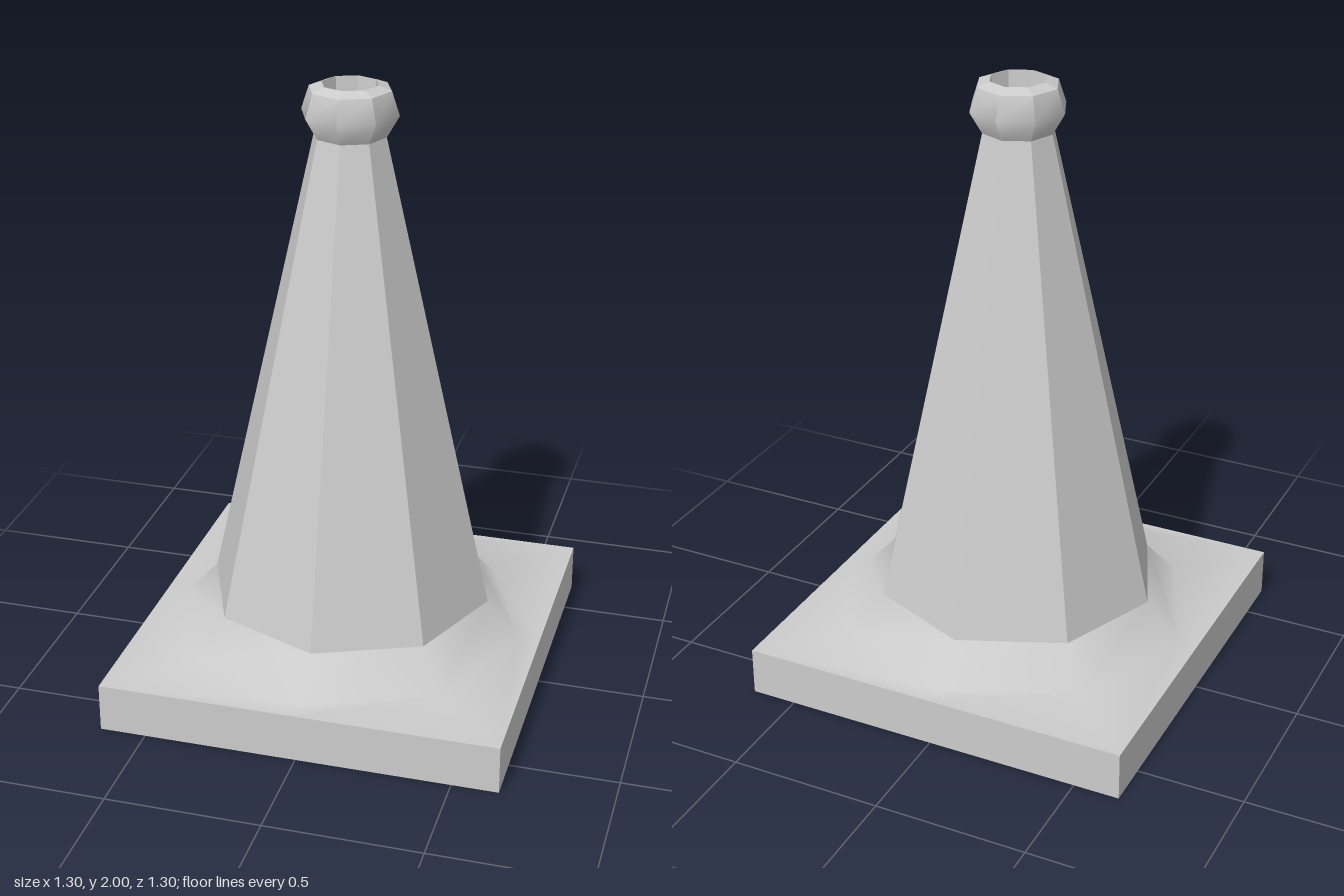
import * as THREE from 'three';

const SIDES = 8;

// Point k of an eight-point ring; a square ring has its corners on the diagonals.
function ringPoint({ y, r, square }, k) {
  const angle = (k / SIDES) * Math.PI * 2;
  const radius = square && k % 2 ? r * Math.SQRT2 : r;
  return [radius * Math.sin(angle), y, radius * Math.cos(angle)];
}

// Skins a stack of rings. 'smooth' shares points all the way round,
// 'panels' is smooth only up each of the eight strips, 'flat' is faceted.
function loft(name, rings, style) {
  const positions = [];
  const index = [];
  const shared = style === 'smooth';
  const n = rings.length;
  const addColumn = (k) => rings.forEach((ring) => positions.push(...ringPoint(ring, k)));

  if (shared) for (let k = 0; k < SIDES; k++) addColumn(k);
  for (let k = 0; k < SIDES; k++) {
    let left = k * n;
    let right = ((k + 1) % SIDES) * n;
    if (!shared) {
      left = positions.length / 3;
      right = left + n;
      addColumn(k);
      addColumn(k + 1);
    }
    for (let j = 0; j < n - 1; j++) {
      const a = left + j;
      const b = right + j;
      if (rings[j].r > 0) index.push(a, b, b + 1);
      if (rings[j + 1].r > 0) index.push(a, b + 1, a + 1);
    }
  }

  const geometry = new THREE.BufferGeometry();
  geometry.setAttribute('position', new THREE.Float32BufferAttribute(positions, 3));
  geometry.setIndex(index);
  geometry.computeVertexNormals();
  const material = new THREE.MeshStandardMaterial({
    color: 0xcccccc,
    flatShading: style === 'flat',
    side: THREE.DoubleSide,
  });
  const mesh = new THREE.Mesh(geometry, material);
  mesh.name = name;
  return mesh;
}

const oct = (y, r) => ({ y, r });
const sq = (y, r) => ({ y, r, square: true });

export function createModel() {
  const model = new THREE.Group();
  model.name = 'trafficCone';

  model.add(
    // hollow under the cone
    loft('underCavity', [oct(0.78, 0), oct(0, 0.48)], 'flat'),
    // square slab: underside with its opening, then the four sides
    loft('basePlate', [oct(0, 0.48), sq(0, 0.65), sq(0.16, 0.65)], 'flat'),
    // top of the slab blending softly into the foot of the cone
    loft('baseTopAndFoot', [sq(0.16, 0.65), oct(0.16, 0.58), oct(0.28, 0.47)], 'smooth'),
    // eight-sided tapering body
    loft('coneBody', [oct(0.28, 0.47), oct(1.84, 0.115)], 'flat'),
    // flared collar and its rim
    loft('collar', [oct(1.84, 0.115), oct(1.91, 0.155), oct(1.985, 0.13)], 'panels'),
    loft('rim', [oct(1.985, 0.13), oct(2, 0.09)], 'flat'),
    // closed hole in the tip
    loft('tipHole', [oct(2, 0.09), oct(1.84, 0.08), oct(1.84, 0)], 'flat'),
  );
  return model;
}
